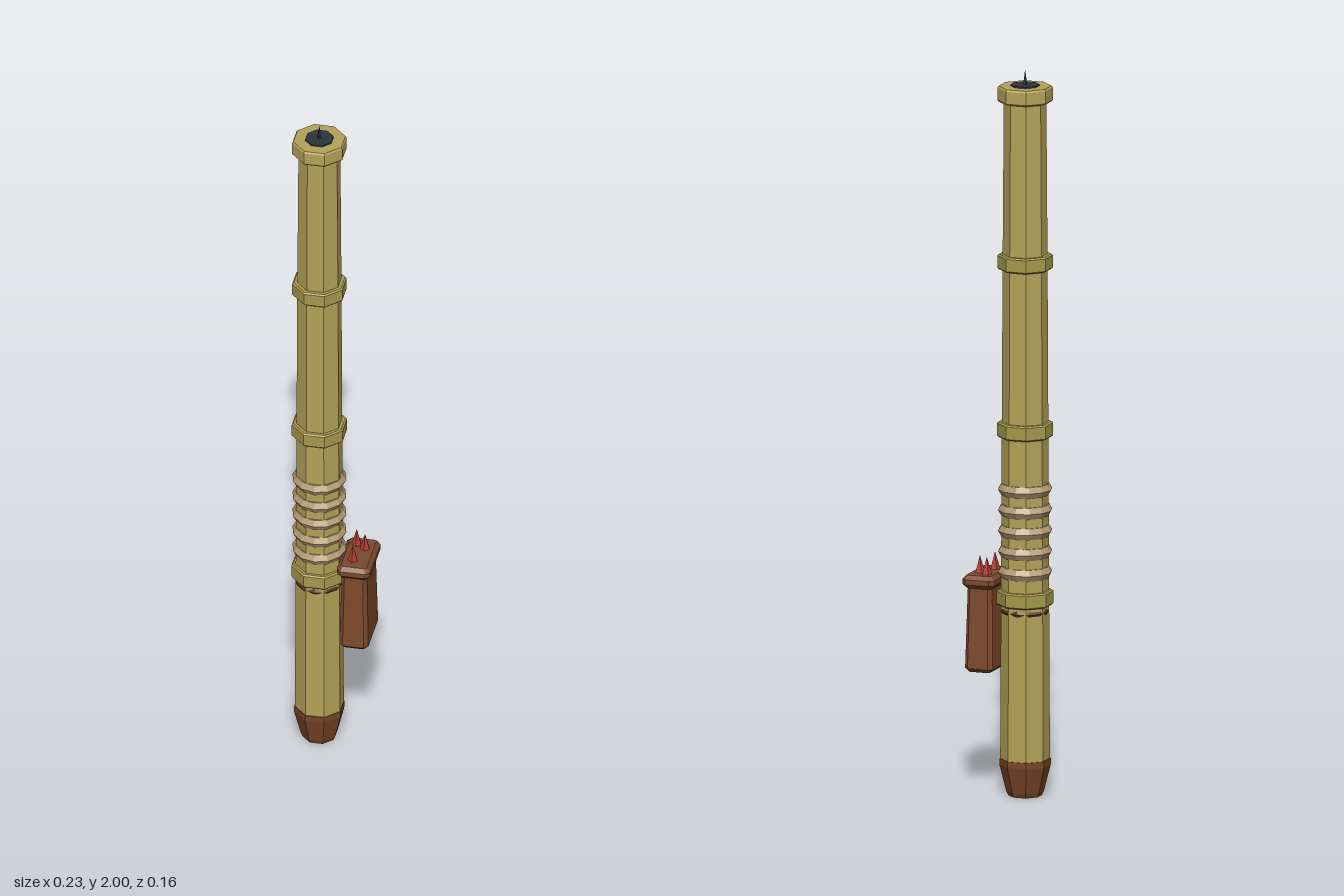
import * as THREE from 'three';

const mat = (name, color) => {
  const m = new THREE.MeshStandardMaterial({ color });
  m.name = name;
  return m;
};

export function createModel() {
  const model = new THREE.Group();
  model.name = 'bambooBlowpipe';

  const bamboo = mat('bamboo', 0xb5a358);
  const node = mat('bambooNode', 0xa8994c);
  const cord = mat('cord', 0xb59a75);
  const leather = mat('leather', 0x7c4a2c);
  const darkLeather = mat('darkLeather', 0x55301f);
  const cap = mat('baseCap', 0x7a4527);
  const red = mat('redFeather', 0xb03a30);
  const dark = mat('boreDark', 0x2c353d);

  const add = (parent, name, geometry, material, x = 0, y = 0, z = 0) => {
    const flat = geometry.index ? geometry.toNonIndexed() : geometry;
    flat.computeVertexNormals();
    const mesh = new THREE.Mesh(flat, material);
    mesh.name = name;
    mesh.position.set(x, y, z);
    parent.add(mesh);
    return mesh;
  };

  // Octagonal solid turned from [apothem, y] pairs, flats facing the axes
  const octagon = (points) => {
    const k = 1 / Math.cos(Math.PI / 8);
    const profile = points.map(([r, y]) => new THREE.Vector2(r * k, y));
    return new THREE.LatheGeometry(profile, 8, Math.PI / 8);
  };

  const pipe = new THREE.Group();
  pipe.name = 'pipe';
  pipe.position.x = -0.041;
  model.add(pipe);

  // Tapering bamboo sections
  const sections = [[0.09, 0.545, 0.062, 0.06], [0.545, 1.01, 0.06, 0.058],
    [1.01, 1.47, 0.058, 0.056], [1.47, 1.93, 0.056, 0.053]];
  for (const [y0, y1, r0, r1] of sections) {
    add(pipe, 'pipeSection', octagon([[r0, y0], [r1, y1]]), bamboo);
  }

  // Raised nodes with a narrow bevel
  for (const [y, r] of [[0.546, 0.071], [1.009, 0.07], [1.471, 0.069]]) {
    add(pipe, 'nodeRing', octagon([[0.05, -0.021], [r - 0.004, -0.021], [r, -0.017],
      [r, 0.017], [r - 0.004, 0.021], [0.05, 0.021]]), node, 0, y);
  }

  // Mouth ring, dark bore and dart tip
  add(pipe, 'mouthRing', octagon([[0.05, 1.912], [0.066, 1.912], [0.069, 1.916],
    [0.069, 1.95], [0.066, 1.955], [0, 1.955]]), bamboo);
  add(pipe, 'bore', octagon([[0.036, 1.954], [0.036, 1.959], [0, 1.959]]), dark);
  add(pipe, 'dartTip', new THREE.ConeGeometry(0.006, 0.042, 5), dark, 0, 1.979);

  // Base cap
  add(pipe, 'baseCap', octagon([[0, 0], [0.042, 0], [0.047, 0.012], [0.064, 0.085],
    [0.064, 0.102], [0.05, 0.102]]), cap);

  // Cord grip and pouch strap
  for (let i = 0; i < 5; i++) {
    const ring = new THREE.TorusGeometry(0.056, 0.018, 6, 12).rotateX(Math.PI / 2);
    add(pipe, 'cordWrap', ring, cord, 0, 0.617 + i * 0.057);
  }
  add(pipe, 'strap', new THREE.TorusGeometry(0.058, 0.008, 6, 12).rotateX(Math.PI / 2),
    darkLeather, 0, 0.509);

  // Box with cut corners and bevelled ends; topScale narrows the upper end
  const cutBox = (w, h, d, c, topScale = 1) => {
    const a = w / 2 - c, b = d / 2 - c, e = c * 0.5;
    const shape = new THREE.Shape([[a, -b + e], [a, b - e], [a - e, b], [-a + e, b],
      [-a, b - e], [-a, -b + e], [-a + e, -b], [a - e, -b]]
      .map(([x, y]) => new THREE.Vector2(x, y)));
    const g = new THREE.ExtrudeGeometry(shape, { depth: h - 2 * c, bevelSize: c,
      bevelThickness: c, bevelSegments: 1 });
    g.translate(0, 0, c - h / 2).rotateX(-Math.PI / 2);
    const p = g.attributes.position;
    for (let i = 0; i < p.count; i++) {
      const s = 1 + (topScale - 1) * (p.getY(i) / h + 0.5);
      p.setX(i, p.getX(i) * s);
      p.setZ(i, p.getZ(i) * s);
    }
    return g;
  };

  // Dart pouch on the pipe's left side
  const pouch = new THREE.Group();
  pouch.name = 'dartPouch';
  pouch.position.set(0.067, 0, -0.001);
  model.add(pouch);
  add(pouch, 'pouchBody', cutBox(0.08, 0.24, 0.152, 0.01, 0.87), leather, 0, 0.463);
  add(pouch, 'pouchRim', cutBox(0.092, 0.036, 0.162, 0.011), leather, 0, 0.592);

  // Spare darts
  for (const [x, z, h] of [[-0.014, -0.042, 0.05], [0.012, -0.026, 0.05], [-0.009, 0.034, 0.05]]) {
    add(pouch, 'spareDart', new THREE.ConeGeometry(0.015, h, 5), red, x, 0.608 + h / 2, z);
  }

  return model;
}
